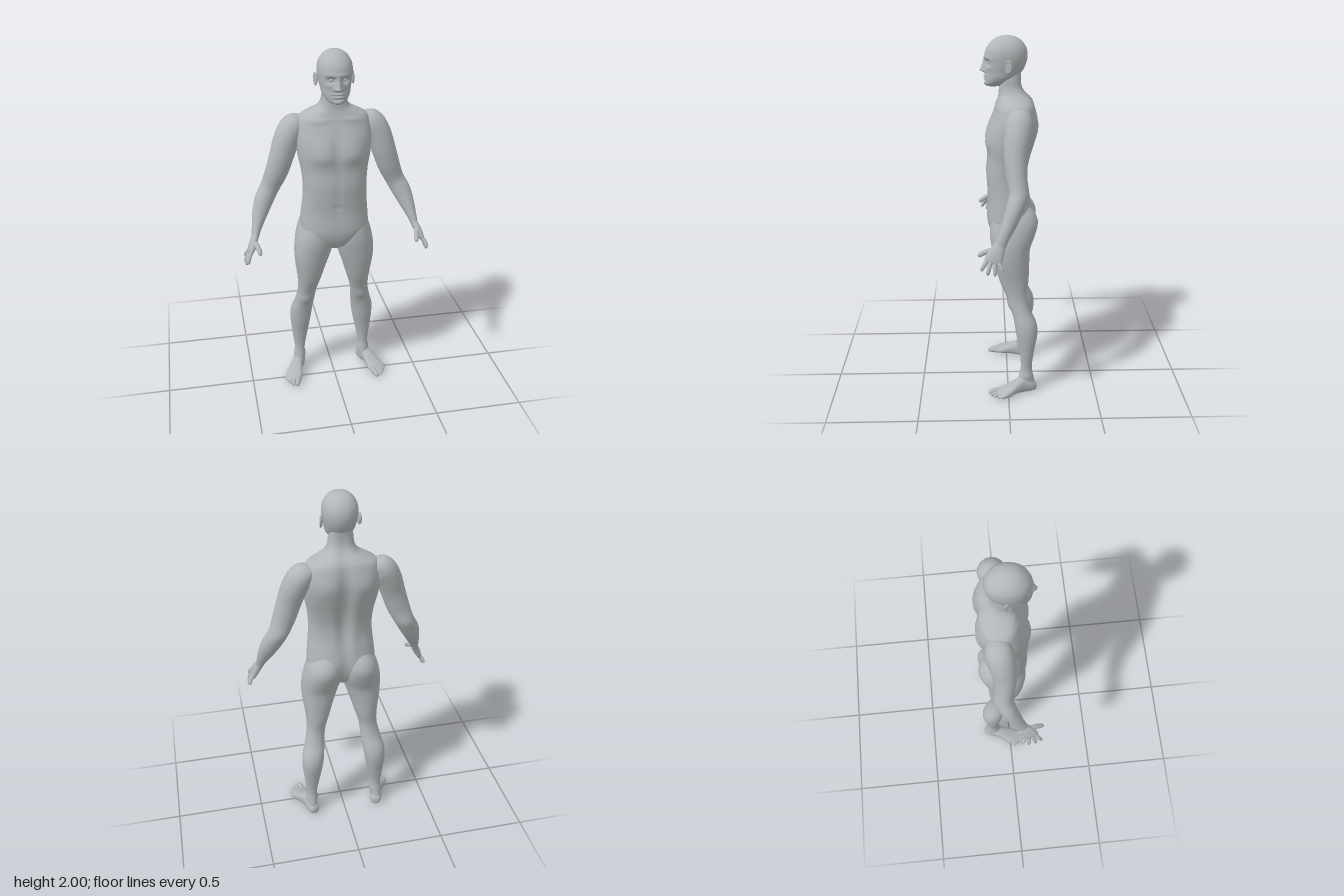
import * as THREE from 'three';

const X = new THREE.Vector3(1, 0, 0), Y = new THREE.Vector3(0, 1, 0), Z = new THREE.Vector3(0, 0, 1);
const DOWN = new THREE.Vector3(0, -1, 0);

const gauss = (d, r) => Math.exp(-(d * d) / (r * r));
const spow = (v, p) => Math.sign(v) * Math.abs(v) ** p;

// smooth interpolation of any row of numbers
function sample(rows, t) {
  const n = rows.length - 1, i = Math.min(Math.floor(t), n - 1), f = t - i;
  const [a, b, c, d] = [-1, 0, 1, 2].map(k => rows[Math.min(Math.max(i + k, 0), n)]);
  return b.map((v, k) => v + 0.5 * f * (c[k] - a[k] + f * (2 * a[k] - 5 * v + 4 * c[k] - d[k]
    + f * (3 * (v - c[k]) + d[k] - a[k]))));
}

// closed skin over rows of [x, y, z, half width, half depth]
function loft(rows, { ref = Z, axis = null, sides = 32, steps = 6, power = 1, sculpt = null } = {}) {
  const count = (rows.length - 1) * steps, pos = [], idx = [];
  const data = Array.from({ length: count + 1 }, (_, i) => sample(rows, i / steps));
  const centre = i => new THREE.Vector3(...data[Math.min(Math.max(i, 0), count)].slice(0, 3));
  for (let i = 0; i <= count; i++) {
    const T = axis || centre(i + 1).sub(centre(i - 1)).normalize();
    const A = ref.clone().cross(T).normalize(), B = T.clone().cross(A);
    for (let j = 0; j < sides; j++) {
      const a = j / sides * Math.PI * 2;
      const p = centre(i).addScaledVector(A, data[i][3] * spow(Math.cos(a), power))
        .addScaledVector(B, data[i][4] * spow(Math.sin(a), power));
      if (sculpt) sculpt(p, Math.sin(a));
      pos.push(p.x, p.y, p.z);
      if (i < count) {
        const k = (j + 1) % sides, q = i * sides, r = q + sides;
        idx.push(q + j, q + k, r + j, q + k, r + k, r + j);
      }
    }
  }
  const first = pos.length / 3, last = count * sides;
  pos.push(...centre(0).toArray(), ...centre(count).toArray());
  for (let j = 0; j < sides; j++) {
    const k = (j + 1) % sides;
    idx.push(first, k, j, first + 1, last + j, last + k);
  }
  const g = new THREE.BufferGeometry();
  g.setAttribute('position', new THREE.Float32BufferAttribute(pos, 3));
  g.setIndex(idx);
  g.computeVertexNormals();
  return g;
}

// horizontal slice given as [y, outer x, inner x, front z, back z]
const slice = ([y, o, i, f, b]) => [(o + i) / 2, y, (f + b) / 2, (o - i) / 2, (f - b) / 2];
const centred = ([y, r, f, b]) => slice([y, r, -r, f, b]);

// finger, thumb or toe with a rounded tip
function digit(from, to, r, bend = [0, 0, 0]) {
  const rows = [0, 0.3, 0.6, 0.85, 0.96, 1].map((t, i) => {
    const w = r * [0.95, 1, 0.95, 0.85, 0.55, 0.12][i], s = Math.sin(Math.PI * t);
    return [...from.map((v, k) => v + (to[k] - v) * t + bend[k] * s), w, w];
  });
  return loft(rows, { ref: X, sides: 14, steps: 3 });
}

function mirrored(geometry) {
  const g = geometry.clone().scale(-1, 1, 1), a = g.index.array;
  for (let i = 0; i < a.length; i += 3) [a[i], a[i + 1]] = [a[i + 1], a[i]];
  return g;
}

// chest, shoulder blades and spine
function sculptTorso(p, facing) {
  const ax = Math.abs(p.x), y = p.y;
  if (facing > 0) {
    const pec = gauss(ax - 0.085, 0.075) * gauss(y - 1.455, y < 1.455 ? 0.045 : 0.09);
    p.z += facing * (0.017 * pec
      - 0.008 * gauss(ax, 0.016) * gauss(y - 1.48, 0.09)
      - 0.005 * gauss(ax, 0.014) * gauss(y - 1.25, 0.13)
      - 0.008 * gauss(ax, 0.012) * gauss(y - 1.16, 0.012)
      + 0.006 * gauss(ax - 0.09, 0.06) * gauss(y - 1.645 + ax * 0.1, 0.014));
  } else {
    p.z -= facing * (0.028 * gauss(ax, 0.035) * gauss(y - 1.42, 0.24)
      + 0.014 * gauss(ax, 0.022) * gauss(y - 1.02, 0.07)
      - 0.012 * gauss(ax - 0.12, 0.06) * gauss(y - 1.53, 0.07)
      - 0.006 * gauss(ax - 0.05, 0.03) * gauss(y - 1.2, 0.1));
  }
}

// brow, eye sockets, nose, cheeks, lips and chin
function sculptHead(p, facing) {
  if (facing <= 0) return;
  const ax = Math.abs(p.x), y = p.y;
  const slope = THREE.MathUtils.clamp((1.885 - y) / 0.065, 0, 1);
  const noseEnd = THREE.MathUtils.smoothstep(y, 1.804, 1.82);
  p.z += (0.003 + 0.027 * slope) * noseEnd * gauss(ax, 0.009 + 0.008 * slope) * (y < 1.9 ? 1 : 0)
    + 0.007 * gauss(ax - 0.016, 0.008) * gauss(y - 1.82, 0.009)
    - 0.016 * gauss(ax - 0.036, 0.02) * gauss(y - 1.863, 0.016)
    + 0.005 * gauss(ax - 0.034, 0.03) * gauss(y - 1.888, 0.01)
    + 0.004 * gauss(ax - 0.055, 0.018) * gauss(y - 1.835, 0.015)
    + 0.010 * gauss(ax, 0.026) * gauss(y - 1.793, 0.006)
    + 0.009 * gauss(ax, 0.022) * gauss(y - 1.778, 0.006)
    - 0.005 * gauss(ax, 0.03) * gauss(y - 1.7855, 0.003)
    - 0.004 * gauss(ax, 0.03) * gauss(y - 1.766, 0.006)
    + 0.004 * gauss(ax, 0.022) * gauss(y - 1.75, 0.012);
}

export function createModel() {
  const body = new THREE.Group();
  body.name = 'standingFigure';
  const skin = new THREE.MeshStandardMaterial({ color: 0xb2b6b8 });
  skin.name = 'plainGrey';
  const add = (name, g) => {
    const m = new THREE.Mesh(g, skin);
    m.name = name;
    body.add(m);
  };
  const pair = (name, g) => {
    add('left' + name, g);
    add('right' + name, mirrored(g));
  };

  // torso and neck, from the skull base down to the crotch
  add('torso', loft([
    [1.84, 0.055, 0.035, -0.078], [1.78, 0.063, 0.043, -0.074], [1.73, 0.07, 0.045, -0.082],
    [1.695, 0.092, 0.047, -0.105], [1.67, 0.138, 0.052, -0.128], [1.64, 0.185, 0.06, -0.145],
    [1.58, 0.203, 0.08, -0.158], [1.52, 0.206, 0.098, -0.16], [1.44, 0.198, 0.11, -0.146],
    [1.36, 0.183, 0.111, -0.124], [1.28, 0.175, 0.117, -0.108], [1.2, 0.176, 0.113, -0.108],
    [1.12, 0.184, 0.109, -0.125], [1.05, 0.19, 0.113, -0.138], [1, 0.186, 0.113, -0.134],
    [0.95, 0.14, 0.102, -0.115], [0.905, 0.07, 0.078, -0.085], [0.88, 0.025, 0.04, -0.045],
  ].map(centred), { axis: DOWN, sides: 72, power: 0.84, sculpt: sculptTorso }));

  // head with sculpted face
  add('head', loft([
    [2, 0.004, 0.008, 0], [1.993, 0.034, 0.044, -0.036], [1.975, 0.062, 0.076, -0.07],
    [1.94, 0.085, 0.107, -0.097], [1.9, 0.092, 0.12, -0.106], [1.86, 0.089, 0.119, -0.1],
    [1.82, 0.081, 0.117, -0.082], [1.785, 0.073, 0.118, -0.05], [1.757, 0.056, 0.12, -0.01],
    [1.742, 0.036, 0.116, 0.025], [1.735, 0.014, 0.1, 0.05],
  ].map(centred), { axis: DOWN, sides: 110, steps: 9, power: 0.95, sculpt: sculptHead }));

  const eye = new THREE.SphereGeometry(0.0125, 20, 14).translate(0.034, 1.863, 0.092);
  pair('Eye', eye);

  // ears: shell with a raised rim
  const place = g => g.rotateY(Math.PI / 2 - 0.3).rotateX(-0.12).translate(0.096, 1.848, -0.004);
  pair('Ear', place(new THREE.SphereGeometry(1, 20, 14).scale(0.017, 0.03, 0.007)));
  pair('EarRim', place(new THREE.TorusGeometry(0.016, 0.004, 8, 28).scale(1, 1.75, 1).translate(0, 0, 0.004)));

  // legs, from inside the hips over the buttocks down to the heel
  pair('Leg', loft([
    [1.12, 0.13, 0.05, 0.05, -0.09], [1.06, 0.178, 0.012, 0.082, -0.145],
    [1, 0.203, 0.002, 0.096, -0.165], [0.93, 0.22, 0.002, 0.099, -0.148],
    [0.86, 0.227, 0.018, 0.09, -0.123], [0.78, 0.223, 0.044, 0.076, -0.118],
    [0.68, 0.21, 0.074, 0.05, -0.115], [0.59, 0.207, 0.1, 0.014, -0.107],
    [0.51, 0.222, 0.11, -0.016, -0.122], [0.43, 0.245, 0.119, -0.034, -0.158],
    [0.36, 0.249, 0.128, -0.045, -0.165], [0.26, 0.24, 0.147, -0.064, -0.148],
    [0.16, 0.228, 0.166, -0.072, -0.135], [0.1, 0.229, 0.168, -0.062, -0.143],
    [0.05, 0.23, 0.17, -0.05, -0.155], [0.02, 0.225, 0.172, -0.06, -0.155],
  ].map(slice), {
    axis: DOWN, sides: 40, power: 0.94,
    sculpt: (p, facing) => {
      if (facing > 0) p.z += 0.012 * facing * gauss(p.x - 0.162, 0.035) * gauss(p.y - 0.53, 0.03);
      // ankle bones
      p.x += (p.x > 0.2 ? 0.007 : -0.007) * (1 - Math.abs(facing)) * gauss(p.y - 0.1, 0.02);
    },
  }));

  // feet: built pointing forward, then turned outward
  const turn = g => g.rotateY(0.33).translate(0.197, 0, -0.13);
  pair('Foot', turn(loft([
    [0, 0.025, -0.033, 0.012, 0.014], [0, 0.03, -0.022, 0.028, 0.028], [0, 0.038, 0.01, 0.035, 0.038],
    [0, 0.047, 0.05, 0.034, 0.047], [0.002, 0.041, 0.09, 0.038, 0.039], [0.004, 0.029, 0.135, 0.047, 0.028],
    [0.006, 0.02, 0.175, 0.051, 0.019], [0.004, 0.015, 0.2, 0.044, 0.012], [0.002, 0.014, 0.208, 0.03, 0.006],
  ], { ref: Y, axis: Z, power: 0.85, sculpt: p => { p.y = Math.max(p.y, 0.001); } })));
  const toes = [[-0.031, 0.247, 0.0155], [-0.005, 0.244, 0.011], [0.014, 0.232, 0.0105],
    [0.031, 0.215, 0.01], [0.046, 0.194, 0.01]];
  toes.forEach(([x, z, r], i) =>
    pair('Toe' + (i + 1), turn(digit([x * 0.9, 0.018, z - 0.065], [x, r * 0.9, z], r, [0, 0.003, 0]))));

  // arms, from the shoulder cap to the wrist
  pair('Arm', loft([
    [0.155, 1.622, -0.06, 0.015, 0.03], [0.178, 1.61, -0.06, 0.047, 0.056],
    [0.214, 1.583, -0.056, 0.068, 0.071], [0.25, 1.52, -0.046, 0.07, 0.071],
    [0.281, 1.43, -0.036, 0.066, 0.063], [0.311, 1.34, -0.038, 0.062, 0.056],
    [0.35, 1.25, -0.045, 0.053, 0.048], [0.388, 1.18, -0.028, 0.052, 0.046],
    [0.416, 1.11, 0, 0.041, 0.039], [0.438, 1.045, 0.03, 0.027, 0.031],
    [0.449, 1.005, 0.048, 0.02, 0.03], [0.456, 0.98, 0.06, 0.016, 0.03],
  ], {
    sides: 40,
    // elbow point
    sculpt: (p, facing) => { if (facing < 0) p.z += 0.008 * facing * gauss(p.y - 1.25, 0.035); },
  }));

  // hands: palm, four fingers and thumb
  pair('Palm', loft([
    [0.448, 1.012, 0.045, 0.017, 0.027], [0.46, 0.982, 0.062, 0.02, 0.037],
    [0.474, 0.95, 0.078, 0.019, 0.045], [0.484, 0.926, 0.087, 0.014, 0.044],
    [0.488, 0.915, 0.09, 0.006, 0.034],
  ], { sides: 28, power: 0.9 }));
  const fingers = [
    ['IndexFinger', [0.48, 0.938, 0.117], [0.499, 0.887, 0.148], 0.0115],
    ['MiddleFinger', [0.484, 0.93, 0.099], [0.507, 0.866, 0.115], 0.0115],
    ['RingFinger', [0.485, 0.926, 0.078], [0.511, 0.861, 0.075], 0.011],
    ['LittleFinger', [0.482, 0.932, 0.058], [0.51, 0.882, 0.036], 0.0095],
  ];
  for (const [name, from, to, r] of fingers) pair(name, digit(from, to, r, [0.006, 0, 0]));
  pair('Thumb', digit([0.458, 0.985, 0.075], [0.434, 0.94, 0.162], 0.014, [-0.004, 0.004, 0.006]));

  return body;
}
